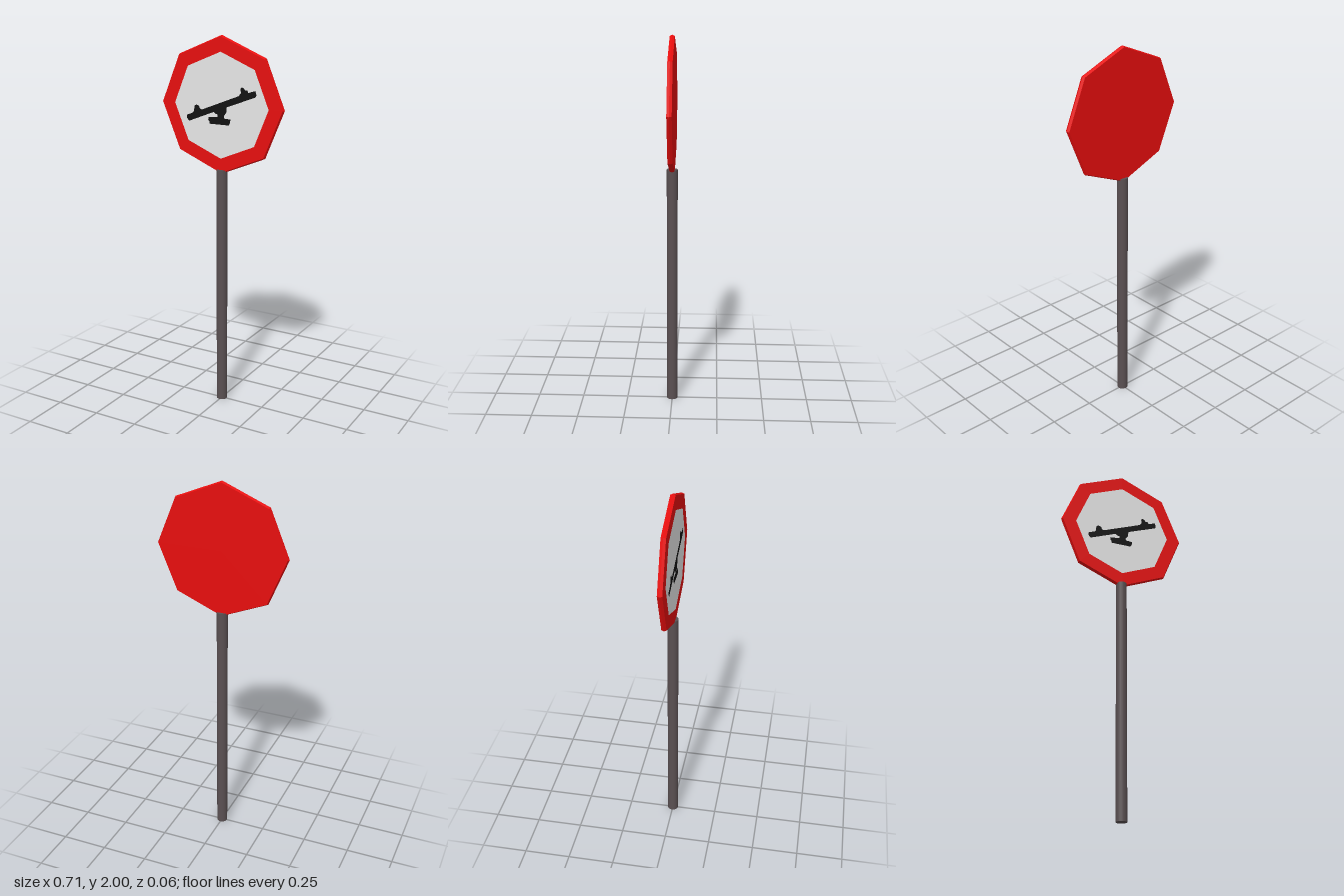
import * as THREE from 'three';

const SIGN_Y = 1.644;

function makeMaterial(name, color) {
  const m = new THREE.MeshStandardMaterial({ color });
  m.name = name;
  return m;
}

export function createModel() {
  const group = new THREE.Group();
  const red = makeMaterial('red', 0xeb0e0e);
  const white = makeMaterial('white', 0xebebeb);
  const black = makeMaterial('black', 0x101010);
  const grey = makeMaterial('pole grey', 0x5a5052);

  function add(name, geometry, material, y, z = 0) {
    const mesh = new THREE.Mesh(geometry, material);
    mesh.name = name;
    mesh.position.set(0, y, z);
    group.add(mesh);
  }

  // Round pole, ending just behind the bottom corner of the sign
  add('pole', new THREE.CylinderGeometry(0.029, 0.029, 1.31, 20), grey, 0.655);

  // Octagonal board with a shallow ridge around its rim
  const profile = [[0, -0.013], [0.35, -0.013], [0.356, 0], [0.35, 0.013], [0, 0.013]];
  const board = new THREE.LatheGeometry(profile.map(([r, h]) => new THREE.Vector2(r, h)), 8)
    .rotateX(Math.PI / 2)
    .toNonIndexed();
  board.computeVertexNormals();
  add('signBoard', board, red, SIGN_Y);

  // White octagonal panel
  add('signPanel', new THREE.CircleGeometry(0.274, 8), white, SIGN_Y, 0.0142);

  // Seesaw silhouette: tilted plank, two seats, stem and foot
  const outline = [
    [-0.188, -0.091], [-0.04, -0.033], [-0.03, -0.042], [-0.018, -0.044], [-0.018, -0.057],
    [-0.07, -0.062], [-0.073, -0.078], [-0.064, -0.083], [-0.064, -0.096], [0.048, -0.096],
    [0.056, -0.082], [0.058, -0.065], [0.02, -0.062], [0.02, -0.05], [0.034, -0.03],
    [0.036, -0.004], [0.2, 0.058], [0.206, 0.068], [0.2, 0.09], [0.16, 0.078],
    [0.155, 0.089], [0.142, 0.088], [0.135, 0.099], [0.122, 0.103], [0.115, 0.095],
    [0.118, 0.075], [0.105, 0.058], [-0.11, -0.026], [-0.122, -0.022], [-0.128, -0.008],
    [-0.142, -0.003], [-0.156, -0.01], [-0.157, -0.035], [-0.165, -0.046], [-0.202, -0.061],
    [-0.202, -0.076],
  ];
  const shape = new THREE.Shape(outline.map(([x, y]) => new THREE.Vector2(x, y)));
  add('seesawSymbol', new THREE.ShapeGeometry(shape), black, SIGN_Y, 0.0155);

  return group;
}
